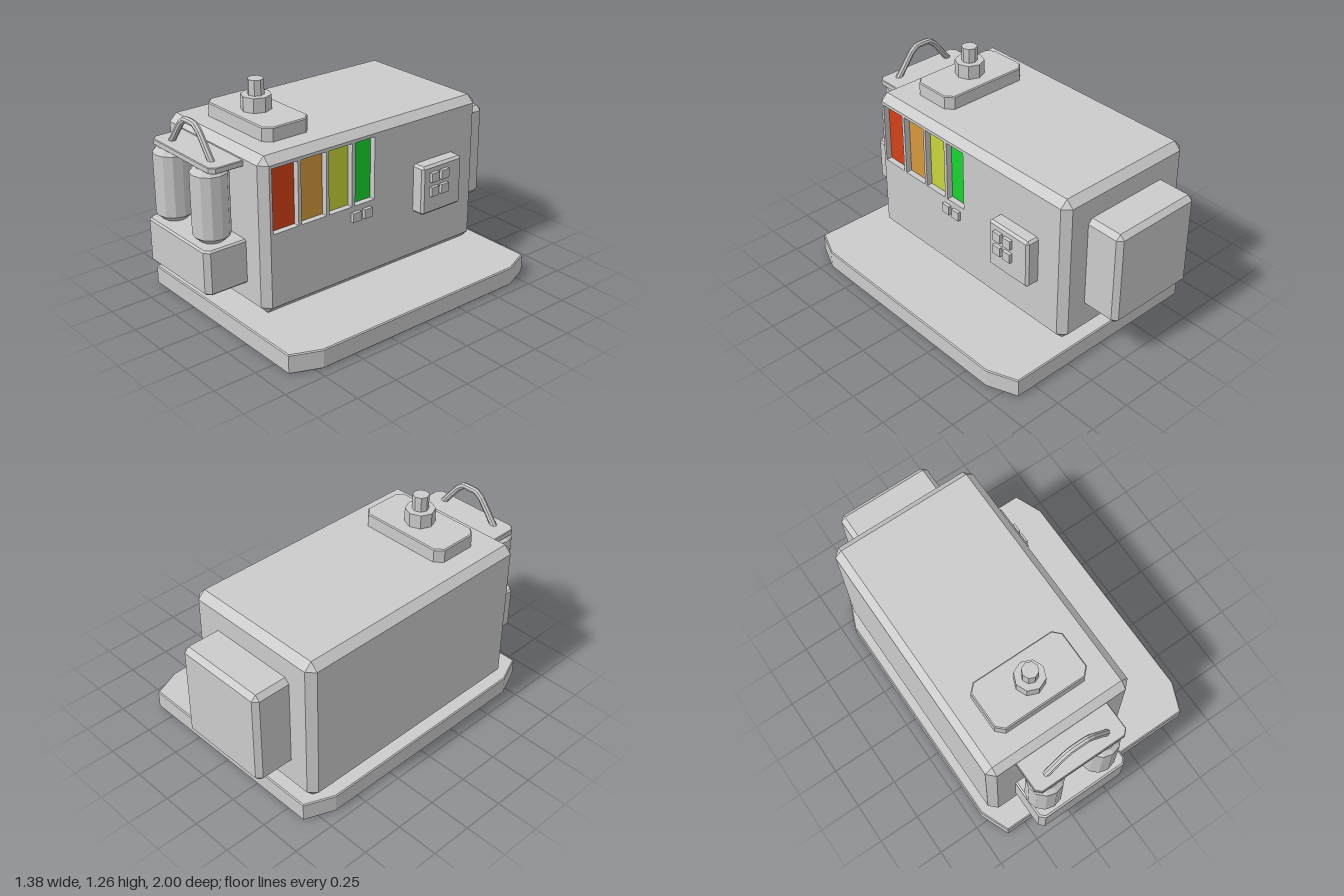
import * as THREE from 'three';

const grey = new THREE.MeshStandardMaterial({ color: 0xcccccc, flatShading: true });

function add(group, name, geometry, material = grey) {
  const mesh = new THREE.Mesh(geometry, material);
  mesh.name = name;
  group.add(mesh);
  return mesh;
}

// Box between two corners
function box([x0, y0, z0], [x1, y1, z1]) {
  return new THREE.BoxGeometry(x1 - x0, y1 - y0, z1 - z0)
    .translate((x0 + x1) / 2, (y0 + y1) / 2, (z0 + z1) / 2);
}

// Box with all edges cut at 45 degrees, lofted along x; the +x cap can be left open
function chamferBox([x0, y0, z0], [x1, y1, z1], c, open = false) {
  const full = [[y0, z0 + c], [y0 + c, z0], [y1 - c, z0], [y1, z0 + c],
    [y1, z1 - c], [y1 - c, z1], [y0 + c, z1], [y0, z1 - c]];
  const corners = [[y0 + c, z0 + c], [y1 - c, z0 + c], [y1 - c, z1 - c], [y0 + c, z1 - c]];
  const inset = full.map((_, i) => corners[i >> 1]);
  const rings = [[x0, inset], [x0 + c, full], [x1 - c, full], [x1, inset]]
    .map(([x, ring]) => ring.map(([y, z]) => [x, y, z]));
  const pos = [];
  const quad = (a, b, d, e) => pos.push(...a, ...b, ...d, ...a, ...d, ...e);
  for (let i = 0; i < 3; i++) {
    for (let j = 0; j < 8; j++) {
      const k = (j + 1) % 8;
      quad(rings[i][j], rings[i][k], rings[i + 1][k], rings[i + 1][j]);
    }
  }
  const [p, q] = [rings[0], rings[3]];
  quad(p[0], p[6], p[4], p[2]);
  if (!open) quad(q[0], q[2], q[4], q[6]);
  const geometry = new THREE.BufferGeometry();
  geometry.setAttribute('position', new THREE.Float32BufferAttribute(pos, 3));
  geometry.computeVertexNormals();
  return geometry;
}

// Upright slab with cut corners and a fine bevel on its top and bottom edges
function slab([x0, y0, z0], [x1, y1, z1], cutX, cutZ, b = 0.008) {
  const outline = [[x0 + cutX, z1], [x1 - cutX, z1], [x1, z1 - cutZ], [x1, z0 + cutZ],
    [x1 - cutX, z0], [x0 + cutX, z0], [x0, z0 + cutZ], [x0, z1 - cutZ]];
  const shape = new THREE.Shape(outline.map(([x, z]) => new THREE.Vector2(x, -z)));
  return new THREE.ExtrudeGeometry(shape, {
    depth: y1 - y0 - 2 * b, bevelThickness: b, bevelSize: b, bevelOffset: -b, bevelSegments: 1,
  }).rotateX(-Math.PI / 2).translate(0, y0 + b, 0);
}

function rect(path, x0, y0, x1, y1) {
  return path.moveTo(x0, y0).lineTo(x1, y0).lineTo(x1, y1).lineTo(x0, y1).closePath();
}

export function createModel() {
  const model = new THREE.Group();
  model.name = 'machine';

  add(model, 'basePlate', slab([-0.69, 0, -0.83], [0.69, 0.112, 0.88], 0.07, 0.17, 0.006));

  // Main housing; its left face is a plate pierced by four gauge windows
  const side = 0.257, c = 0.043, depth = 0.037;
  add(model, 'housing', chamferBox([-0.64, 0.112, -0.78], [side, 1.012, 0.75], c, true));
  const face = rect(new THREE.Shape(), -(0.75 - c), 0.112 + c, 0.78 - c, 1.012 - c);
  const windows = [
    [0.69, 0.525, 0xd64117], [0.505, 0.338, 0xd5993c],
    [0.32, 0.162, 0xc8d53a], [0.14, 0.003, 0x17d530],
  ];
  for (const [zFront, zBack, color] of windows) {
    face.holes.push(rect(new THREE.Path(), -zFront, 0.583, -zBack, 0.95));
    add(model, 'gaugePane', box([side - depth - 0.01, 0.575, zBack - 0.005],
      [side - depth + 0.001, 0.958, zFront + 0.005]),
    new THREE.MeshStandardMaterial({ color, flatShading: true }));
  }
  add(model, 'gaugeFace', new THREE.ExtrudeGeometry(face, { depth, bevelEnabled: false })
    .rotateY(Math.PI / 2).translate(side - depth, 0, 0));

  // Buttons below the gauge
  for (const z of [0.06, 0.14]) {
    add(model, 'gaugeButton', box([0.24, 0.495, z - 0.028], [0.277, 0.55, z + 0.028]));
  }

  // Keypad with four keys
  add(model, 'keypad', chamferBox([0.22, 0.417, -0.587], [0.335, 0.712, -0.287], 0.014));
  for (const z of [-0.367, -0.443]) {
    for (const y of [0.556, 0.643]) {
      add(model, 'key', box([0.32, y - 0.028, z - 0.028], [0.355, y + 0.028, z + 0.028]));
    }
  }

  // Rear box
  add(model, 'rearBox', chamferBox([-0.48, 0.28, -1], [0.095, 0.85, -0.7], 0.028));

  // Roof mount with nut and pin
  add(model, 'roofPlate', slab([-0.48, 1.0, 0.3], [0.095, 1.092, 0.6], 0.042, 0.042, 0.006));
  for (const [name, r, y0, y1] of [['nut', 0.085, 1.08, 1.175], ['pin', 0.046, 1.16, 1.262]]) {
    add(model, name, new THREE.CylinderGeometry(r, r, y1 - y0, 8))
      .position.set(-0.192, (y0 + y1) / 2, 0.455);
  }

  // Front bracket: lower box, upper shelf, two canisters and a handle
  add(model, 'canisterBox', slab([-0.48, 0.255, 0.7], [0.095, 0.512, 1], 0.028, 0.028, 0.01));
  add(model, 'canisterShelf', slab([-0.48, 0.928, 0.7], [0.095, 0.962, 0.945], 0.028, 0.028, 0.004));
  const profile = [[0, 0.5], [0.066, 0.5], [0.066, 0.512], [0.103, 0.547], [0.103, 0.9],
    [0.075, 0.932], [0, 0.932]].map(([r, y]) => new THREE.Vector2(r, y));
  for (const x of [-0.384, -0.029]) {
    add(model, 'canister', new THREE.LatheGeometry(profile, 12)).position.set(x, 0, 0.877);
  }
  const points = [[-0.39, 0.94], [-0.275, 1.09], [-0.235, 1.12], [-0.145, 1.12], [-0.105, 1.09],
    [0.01, 0.94]].map(([x, y]) => new THREE.Vector3(x, y, 0.877));
  const path = new THREE.CurvePath();
  for (let i = 1; i < points.length; i++) path.add(new THREE.LineCurve3(points[i - 1], points[i]));
  add(model, 'handle', new THREE.TubeGeometry(path, 24, 0.019, 8));

  return model;
}
